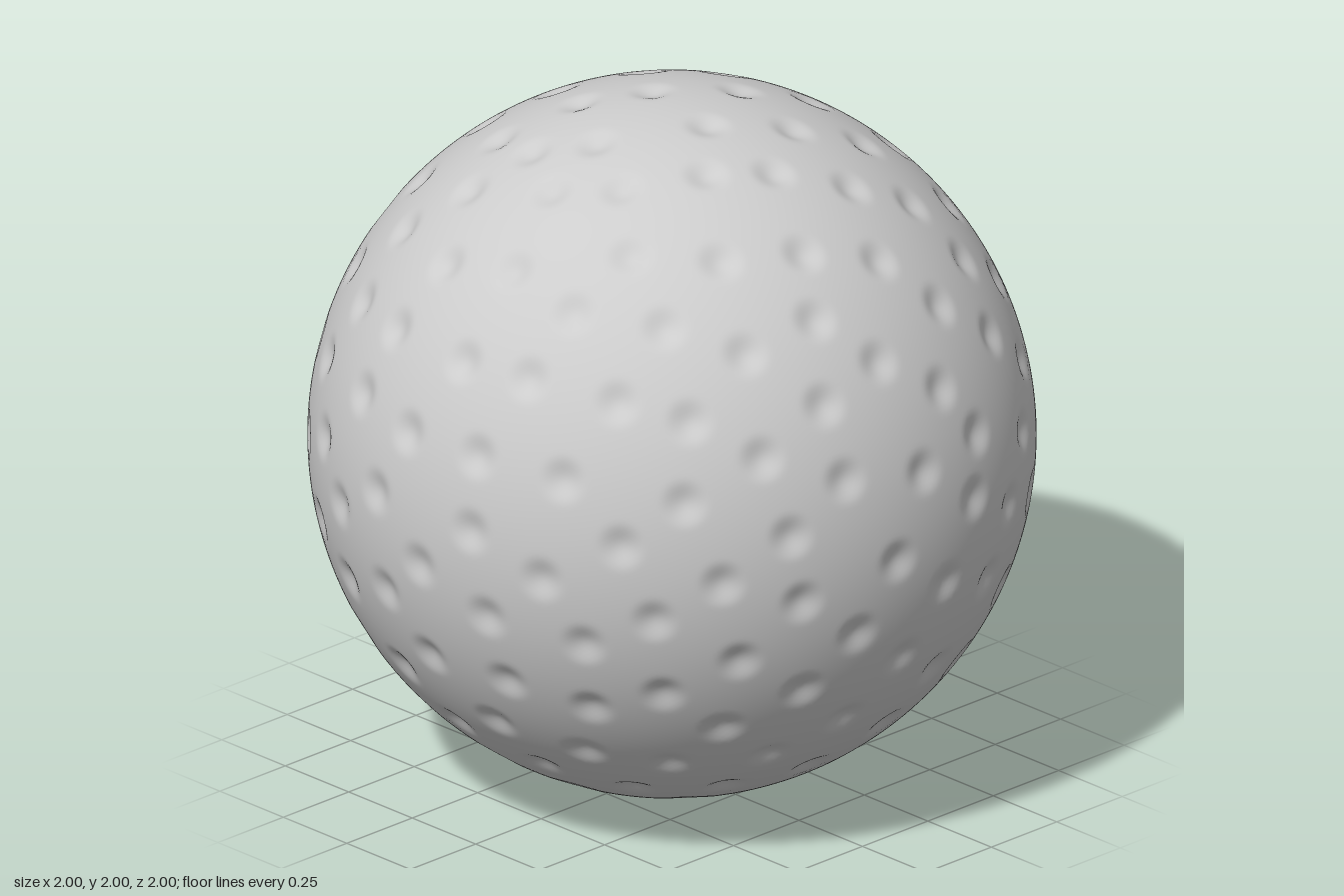
import * as THREE from 'three';
import { mergeVertices } from 'three/addons/utils/BufferGeometryUtils.js';

const RADIUS = 1;
const DIMPLES = 222;
const DIMPLE_RADIUS = 0.075;
const DIMPLE_DEPTH = 0.017;

// Dimple centres on three sides, as offsets from the middle of that side
const FRONT = [
  [-0.47, 0.11], [-0.15, 0.08], [0.21, 0.07], [-0.34, -0.03], [0.03, -0.08], [0.42, -0.03],
  [0.25, -0.18], [-0.13, -0.21], [-0.35, -0.27], [0.51, -0.22], [0, -0.38], [0.26, -0.39],
  [-0.18, -0.49], [-0.43, -0.49], [0.14, -0.57], [0.47, -0.44], [0.61, 0.09], [-0.05, 0.28],
  [-0.28, 0.31], [0.2, 0.28], [0.45, 0.26], [0.07, 0.5], [0.28, 0.5], [0.52, 0.47],
  [-0.66, 0.02], [-0.53, -0.17], [-0.56, 0.29], [-0.22, 0.5],
];
const SIDE = [
  [-0.1, -0.04], [0.21, 0.05], [0.01, 0.19], [-0.25, 0.23], [0.1, -0.17], [-0.21, -0.24],
  [-0.39, -0.1], [-0.42, 0.1], [-0.59, -0.02], [-0.02, -0.37], [-0.33, -0.4], [0.32, -0.24],
  [0.41, -0.05], [0.53, 0.11], [0.17, -0.48], [-0.14, -0.55], [0.48, -0.35], [0.25, 0.22],
  [0.5, 0.24], [0.14, 0.38], [-0.05, 0.5], [0.45, 0.41],
];
const TOP = [
  [-0.09, -0.01], [0.17, 0.03], [0.04, -0.22], [0.41, 0.01], [0.32, 0.18], [-0.22, 0.14],
  [0, 0.29], [-0.33, 0.34], [0.19, 0.38], [-0.42, 0.03], [-0.54, 0.19], [-0.3, -0.18],
  [0.28, -0.19], [0.51, -0.19], [0.63, 0.11], [0.53, 0.33], [-0.25, 0.53], [0.02, 0.48],
  [0.35, 0.5], [-0.56, 0.42],
];

// Evenly spread directions on a golden spiral
function spiralDirections(count) {
  const turn = Math.PI * (3 - Math.sqrt(5));
  return Array.from({ length: count }, (_, i) => {
    const y = 1 - (2 * i + 1) / count;
    const r = Math.sqrt(1 - y * y);
    return new THREE.Vector3(r * Math.cos(i * turn), y, r * Math.sin(i * turn));
  });
}

// Fixed dimples first, then fill the widest gaps and even out the filled ones
function dimpleDirections() {
  const rise = (a, b) => Math.sqrt(1 - a * a - b * b);
  const fixed = [
    ...FRONT.map(([x, y]) => new THREE.Vector3(x, y, rise(x, y))),
    ...SIDE.map(([u, y]) => new THREE.Vector3(rise(u, y), y, -u)),
    ...TOP.map(([x, z]) => new THREE.Vector3(x, rise(x, z), z)),
  ];
  const points = [];
  for (const p of fixed) {
    if (points.every((q) => q.distanceTo(p) > 0.15)) points.push(p);
  }
  const fixedCount = points.length;

  const candidates = spiralDirections(2500);
  const gap = candidates.map((c) => Math.min(...points.map((p) => p.distanceTo(c))));
  while (points.length < DIMPLES) {
    let best = 0;
    gap.forEach((g, i) => { if (g > gap[best]) best = i; });
    const added = candidates[best].clone();
    points.push(added);
    candidates.forEach((c, i) => { gap[i] = Math.min(gap[i], c.distanceTo(added)); });
  }

  const push = new THREE.Vector3();
  const away = new THREE.Vector3();
  for (let step = 0; step < 80; step++) {
    for (let i = fixedCount; i < points.length; i++) {
      push.set(0, 0, 0);
      for (const q of points) {
        if (q === points[i]) continue;
        away.subVectors(points[i], q);
        const d = away.length();
        if (d < 0.6) push.addScaledVector(away, 1 / d ** 4);
      }
      points[i].addScaledVector(push.multiplyScalar(0.0002).clampLength(0, 0.02), 1).normalize();
    }
  }
  return points;
}

// Sphere pressed in with a smooth bowl at every dimple
function dimpledSphere() {
  const base = new THREE.IcosahedronGeometry(RADIUS, 80);
  base.deleteAttribute('uv');
  base.deleteAttribute('normal');
  const geometry = mergeVertices(base, 1e-5);
  const dimples = dimpleDirections();
  const position = geometry.attributes.position;
  const v = new THREE.Vector3();
  for (let i = 0; i < position.count; i++) {
    v.fromBufferAttribute(position, i).normalize();
    let nearest = Infinity;
    for (const d of dimples) nearest = Math.min(nearest, v.distanceToSquared(d));
    const t = Math.min(1, Math.sqrt(nearest) / DIMPLE_RADIUS);
    const depth = DIMPLE_DEPTH * 0.5 * (1 + Math.cos(Math.PI * t));
    v.multiplyScalar(RADIUS - depth);
    position.setXYZ(i, v.x, v.y, v.z);
  }
  geometry.computeVertexNormals();
  return geometry;
}

export function createModel() {
  const shellGrey = new THREE.MeshStandardMaterial({ color: 0xcccccc });
  shellGrey.name = 'shellGrey';

  const ball = new THREE.Mesh(dimpledSphere(), shellGrey);
  ball.name = 'dimpledBall';
  ball.position.y = RADIUS;

  const model = new THREE.Group();
  model.name = 'golfBall';
  model.add(ball);
  return model;
}
